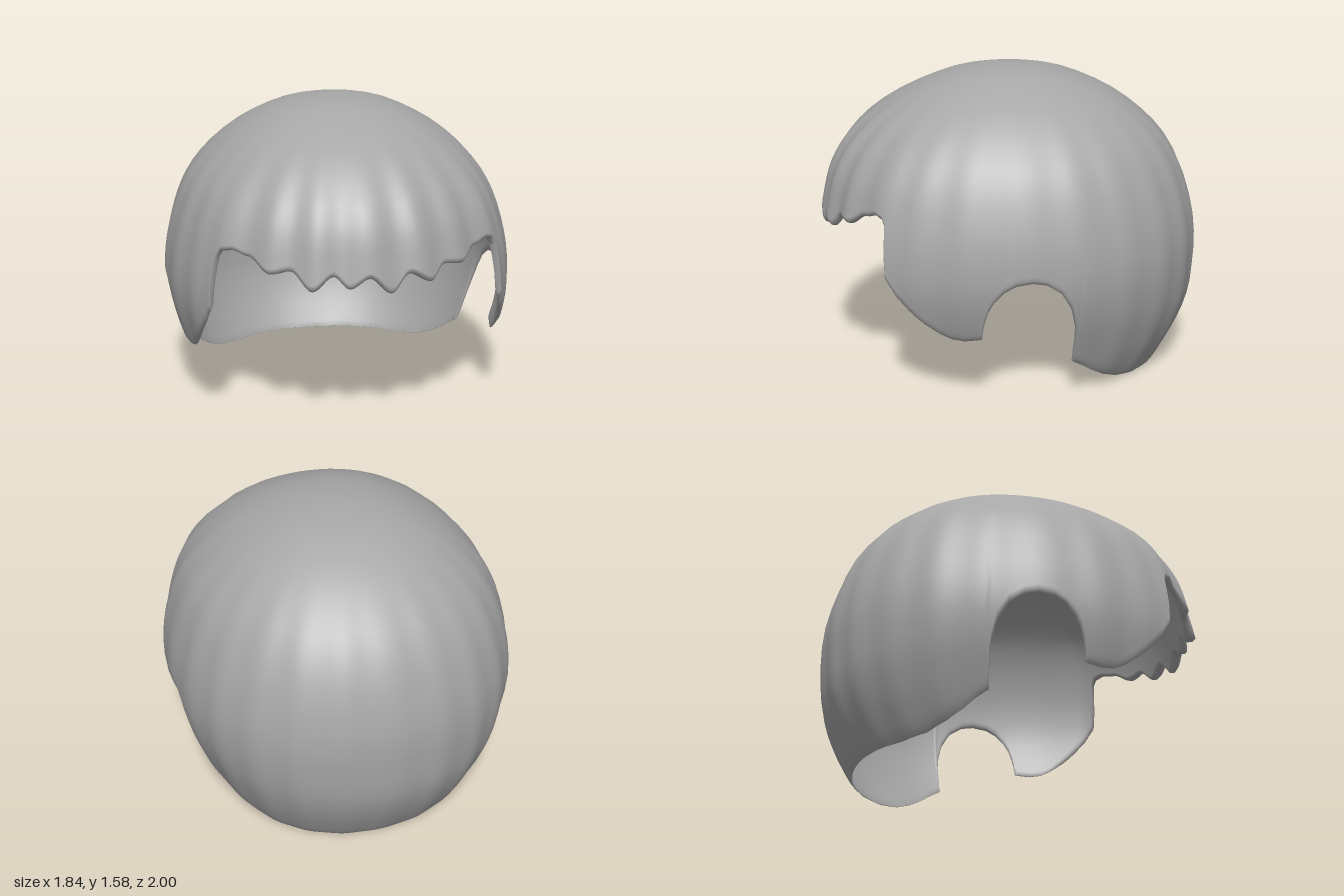
import * as THREE from 'three';

const DEG = Math.PI / 180;
const COLS = 720, UPPER = 12, LOWER = 14;
const CROWN_END = 0.4; // profile parameter just above the highest hair edge
const { smoothstep } = THREE.MathUtils;

// Dome profile: radius factor and height, from the crown to the nape
const profile = new THREE.SplineCurve([
  [0, 1.587], [0.17, 1.575], [0.36, 1.53], [0.59, 1.42], [0.78, 1.265], [0.9, 1.09],
  [0.977, 0.86], [1, 0.65], [0.98, 0.45], [0.935, 0.3], [0.87, 0.15], [0.785, 0],
].map(([r, y]) => new THREE.Vector2(r, y)));

// Wavy fringe edge: x, y
const fringe = [
  [-0.71, 0.9], [-0.69, 0.94], [-0.65, 0.95], [-0.59, 0.93], [-0.48, 0.86], [-0.39, 0.88],
  [-0.28, 0.79], [-0.18, 0.86], [-0.1, 0.8], [0, 0.85], [0.11, 0.77], [0.21, 0.86],
  [0.32, 0.81], [0.41, 0.88], [0.5, 0.87], [0.6, 0.93], [0.66, 0.95], [0.69, 0.94], [0.71, 0.9],
];

// Sideburn, ear arch and nape edge: degrees from the front, y
const side = [
  [48.2, 0.9], [49.5, 0.64], [53, 0.56], [57.5, 0.49], [62, 0.425], [66.6, 0.37], [70, 0.345],
  [74, 0.338], [79, 0.35], [79.7, 0.43], [81, 0.51], [82.5, 0.56], [85, 0.615], [88, 0.65],
  [91.5, 0.663], [95, 0.65], [99, 0.6], [102, 0.51], [103.5, 0.41], [104, 0.34], [104, 0.2],
  [108, 0.165], [113, 0.115], [119, 0.07], [127, 0.03], [138, 0.01], [180, 0.004],
];

function lookup(table, v, smooth) {
  if (v <= table[0][0]) return table[0][1];
  for (let i = 1; i < table.length; i++) {
    const [a, ya] = table[i - 1], [b, yb] = table[i];
    if (v <= b) {
      let t = (v - a) / (b - a);
      if (smooth) t = t * t * (3 - 2 * t);
      return ya + (yb - ya) * t;
    }
  }
  return table[table.length - 1][1];
}

// Slightly squared oval plan
const squared = (v) => Math.sign(v) * Math.abs(v) ** 0.92;

// Height of the hair edge at a signed angle in degrees
function edgeHeight(deg) {
  if (Math.abs(deg) > 48.2) return lookup(side, Math.abs(deg), false);
  return lookup(fringe, 0.93 * squared(Math.sin(deg * DEG)), true);
}

// Profile parameter at a given height
function profileAt(y) {
  let lo = 0, hi = 1;
  for (let i = 0; i < 24; i++) {
    const mid = (lo + hi) / 2;
    if (profile.getPoint(mid).y > y) lo = mid; else hi = mid;
  }
  return (lo + hi) / 2;
}

// Point on the shell; inward runs from 0 (outer skin) to 1 (inner skin)
function shellPoint(deg, s, inward) {
  const u = deg * DEG;
  const p = profile.getPoint(s), tan = profile.getTangent(s);
  const front = Math.max(0, Math.cos(u)) ** 3;
  const back = Math.max(0, -Math.cos(u));
  const fade = smoothstep(p.x, 0.5, 0.98);
  const locks = Math.cos(24 * u) * (0.004 + 0.007 * front) * fade * (1 - inward);
  const nape = 0.025 * back * (1 - smoothstep(p.y, 0.25, 0.6));
  // The fringe swells over the forehead
  const swell = front * smoothstep(p.x, 0.4, 0.75) * (0.01 + 0.015 * smoothstep(p.y, 0.85, 1.1));
  const thick = 0.012 + (0.014 + 0.026 * front) * smoothstep(p.y, 0.1, 0.7);
  const r = Math.max(0, p.x + locks + nape + swell + tan.y * thick * inward);
  const y = Math.max(0, p.y - tan.x * thick * inward);
  // Sideburns flare at the temple and the sides tuck in toward the jaw
  const flare = 1 + 0.04 * Math.exp(-(((Math.abs(deg) - 48) / 9) ** 2)) * fade;
  const tuck = 1 - 0.035 * (1 - smoothstep(p.y, 0.25, 0.65));
  return [0.915 * r * squared(Math.sin(u)) * flare * tuck, y, r * squared(Math.cos(u))];
}

// Closed hair shell: outer skin, rounded rim, inner skin
function hairGeometry() {
  const pos = [], index = [];
  // Each row: profile parameter of the crown part, share of the hanging part
  const rows = [];
  for (let j = 0; j < UPPER; j++) rows.push([CROWN_END * j / UPPER, 0]);
  for (let j = 0; j < LOWER; j++) rows.push([CROWN_END, j / LOWER]);
  rows.push([CROWN_END, 0.965]);
  const ring = [
    ...rows.map((row) => [...row, 0]),
    [CROWN_END, 1, 0.3], [CROWN_END, 1, 0.75],
    ...rows.map((row) => [...row, 1]).reverse(),
  ];
  const n = ring.length;

  for (let i = 0; i < COLS; i++) {
    const deg = i * 360 / COLS - 180;
    const hang = profileAt(edgeHeight(deg)) - CROWN_END;
    for (const [s, t, inward] of ring) pos.push(...shellPoint(deg, s + t * hang, inward));
    const next = (i + 1) % COLS;
    for (let j = 0; j < n - 1; j++) {
      const a = i * n + j, c = next * n + j;
      index.push(a, a + 1, c, c, a + 1, c + 1);
    }
  }
  const geo = new THREE.BufferGeometry();
  geo.setAttribute('position', new THREE.Float32BufferAttribute(pos, 3));
  geo.setIndex(index);
  geo.computeVertexNormals();
  return geo;
}

export function createModel() {
  const group = new THREE.Group();
  group.name = 'bowlCutHair';
  const grey = new THREE.MeshStandardMaterial({ color: 0xa6a6a6 });
  grey.name = 'hairGrey';
  const hair = new THREE.Mesh(hairGeometry(), grey);
  hair.name = 'hairShell';
  group.add(hair);
  return group;
}
